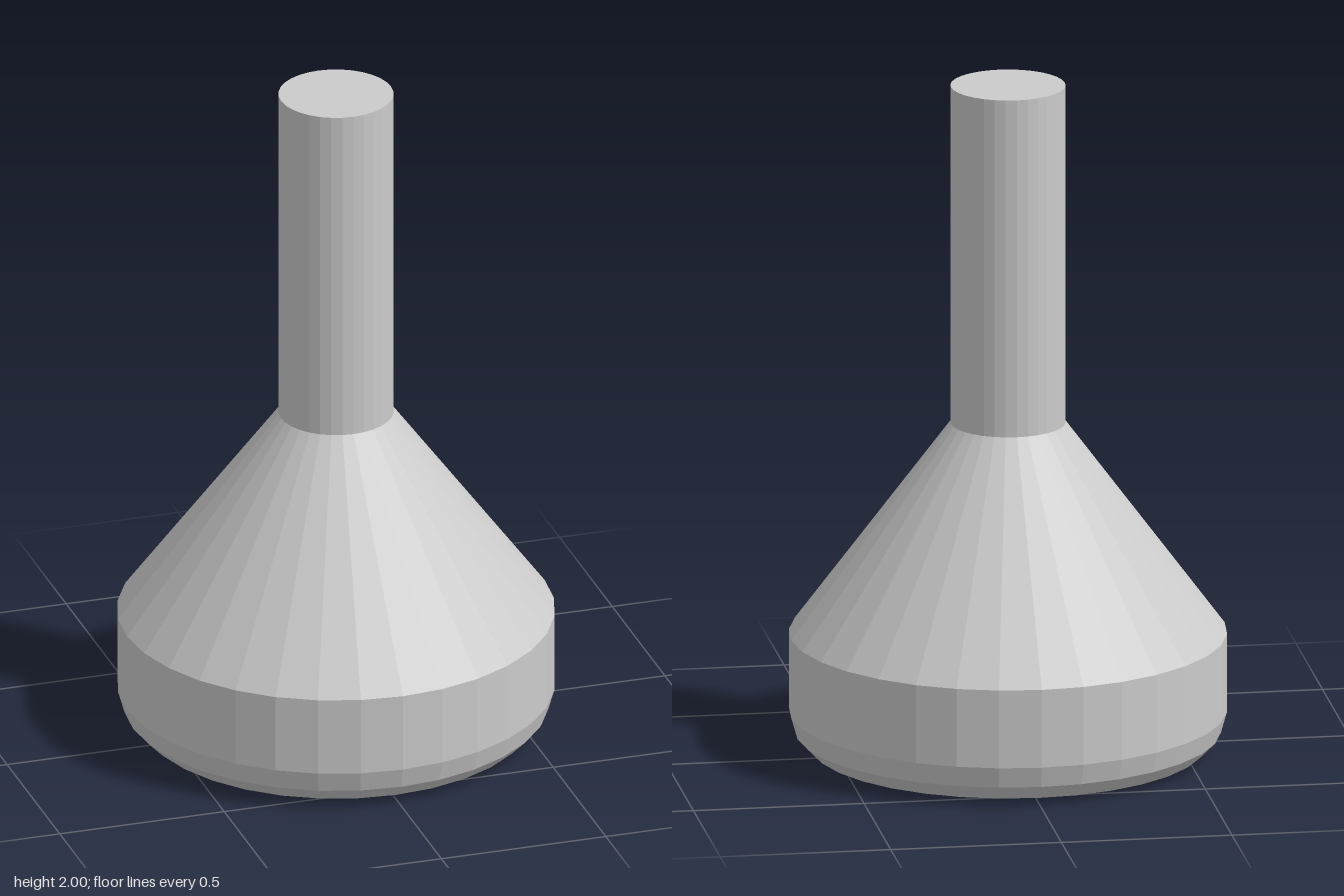
import * as THREE from 'three';

const SIDES = 32;

export function createModel() {
  const group = new THREE.Group();
  const material = new THREE.MeshStandardMaterial({ color: 0xcccccc, flatShading: true });

  // Turns a profile of [radius, height] points, listed bottom to top
  const addTurned = (name, profile) => {
    const points = profile.map(([r, y]) => new THREE.Vector2(r, y));
    const mesh = new THREE.Mesh(new THREE.LatheGeometry(points, SIDES), material);
    mesh.name = name;
    group.add(mesh);
  };

  // Drum with a rounded bottom edge and closed underside
  addTurned('base', [[0, 0], [0.515, 0], [0.573, 0.015], [0.617, 0.06], [0.635, 0.123], [0.635, 0.357]]);

  // Tapering shoulder
  addTurned('shoulder', [[0.635, 0.357], [0.167, 0.987]]);

  // Straight neck with a flat closed top
  addTurned('neck', [[0.167, 0.987], [0.167, 2], [0, 2]]);

  return group;
}
